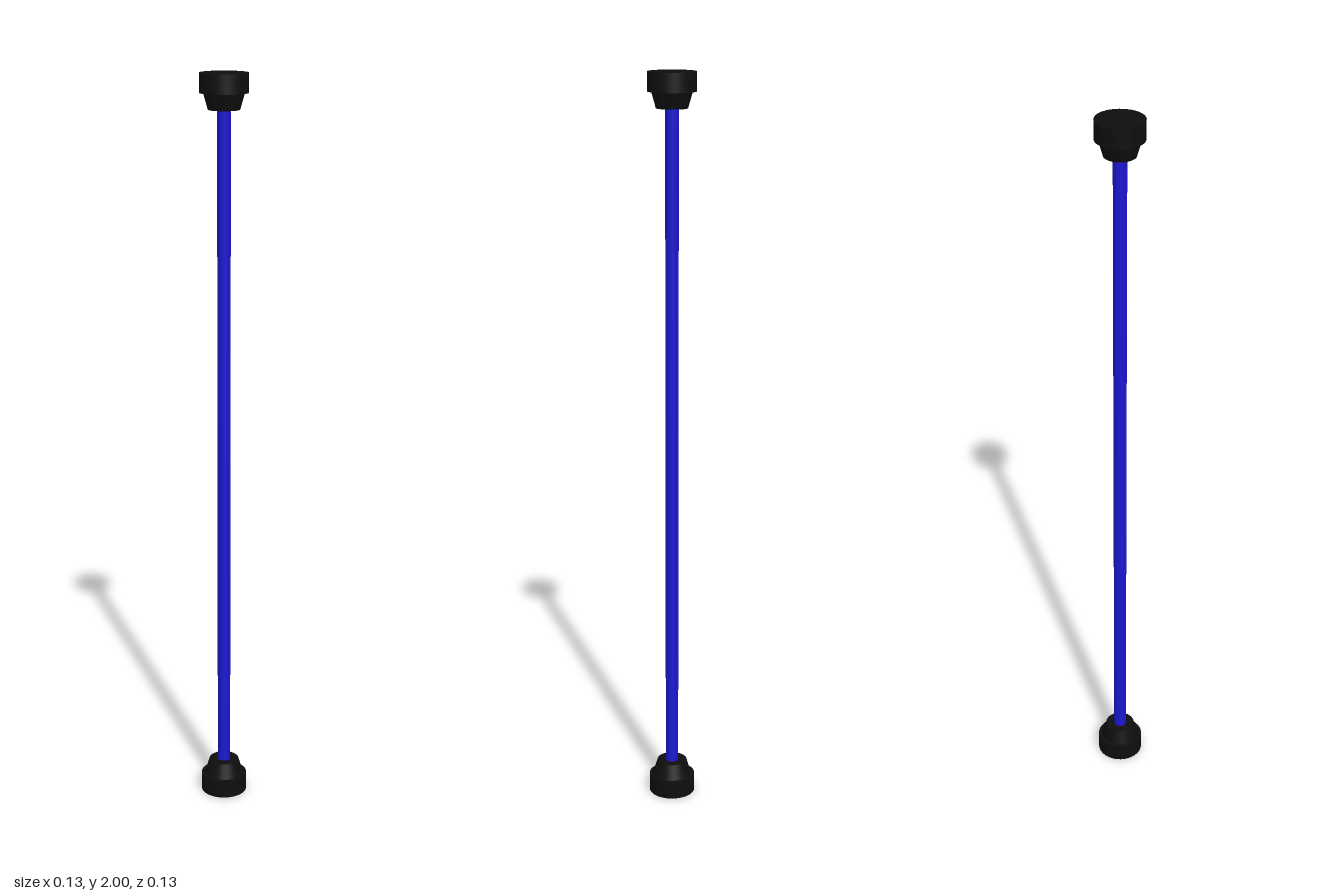
import * as THREE from 'three';

const HEIGHT = 2;
const SEGMENTS = 48;

export function createModel() {
  const model = new THREE.Group();
  model.name = 'cappedRod';
  const black = new THREE.MeshStandardMaterial({ color: 0x0e0e0e });
  const blue = new THREE.MeshStandardMaterial({ color: 0x1c16d0 });

  // Adds an upright cylinder or cone section between two heights
  function addSection(parent, name, material, topRadius, bottomRadius, y0, y1) {
    const geometry = new THREE.CylinderGeometry(topRadius, bottomRadius, y1 - y0, SEGMENTS);
    const mesh = new THREE.Mesh(geometry, material);
    mesh.name = name;
    mesh.position.y = (y0 + y1) / 2;
    parent.add(mesh);
  }

  // End fitting: a flat disc with a tapered collar that grips the rod
  function createEndCap(name) {
    const cap = new THREE.Group();
    cap.name = name;
    addSection(cap, 'disc', black, 0.063, 0.063, 0, 0.05);
    addSection(cap, 'collar', black, 0.041, 0.053, 0.05, 0.092);
    return cap;
  }

  // Long rod, seated inside both collars
  addSection(model, 'rod', blue, 0.0175, 0.0175, 0.05, HEIGHT - 0.05);

  const bottomCap = createEndCap('bottomCap');
  const topCap = createEndCap('topCap');
  topCap.rotation.x = Math.PI;
  topCap.position.y = HEIGHT;
  model.add(bottomCap, topCap);

  return model;
}
